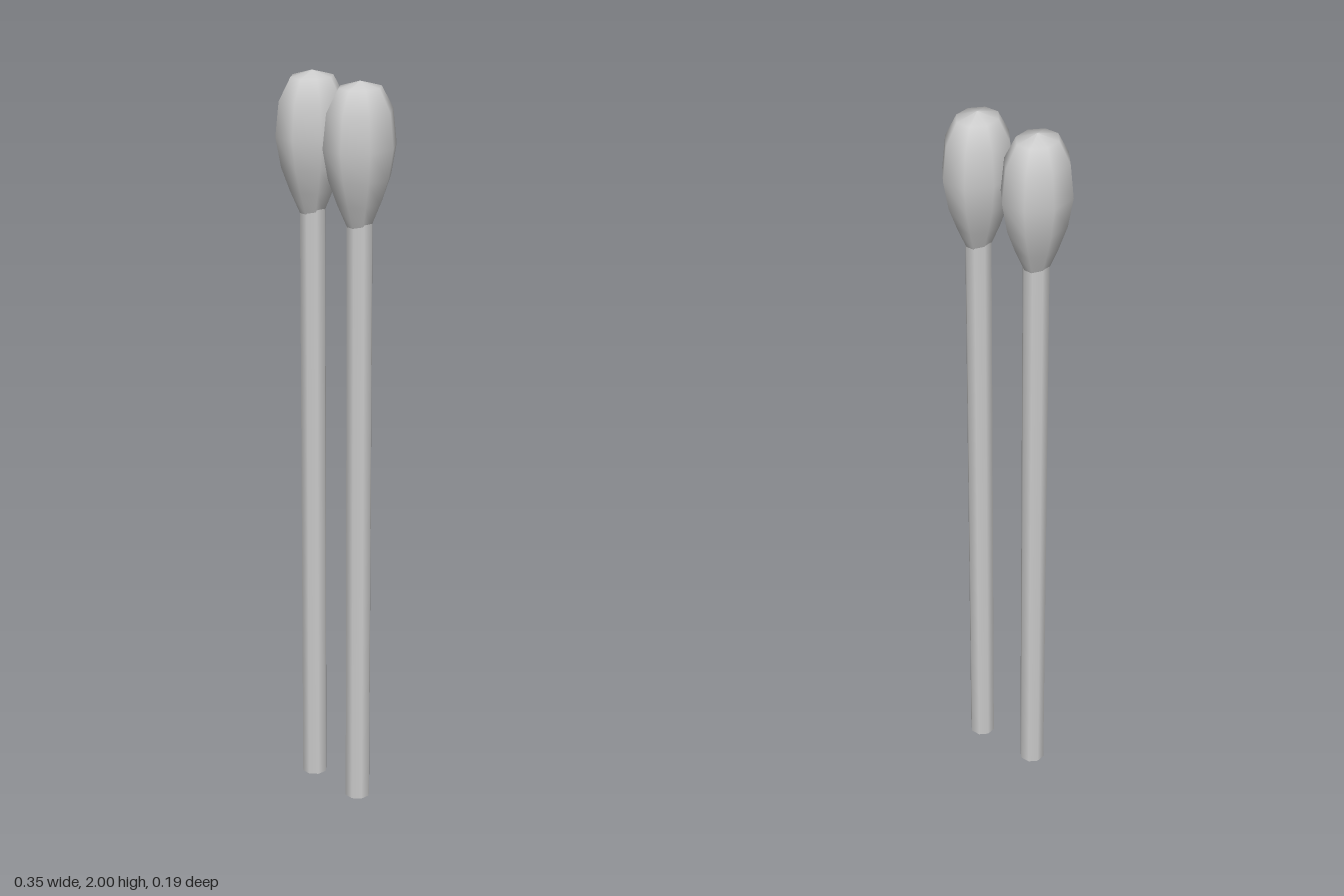
import * as THREE from 'three';

const SIDES = 8;

// Half-width across flats and height, from the neck up to the tip
const HEAD_PROFILE = [
  [0.028, 1.63], [0.05, 1.69], [0.07, 1.755], [0.082, 1.835],
  [0.074, 1.925], [0.048, 1.984], [0, 2.0],
];

export function createModel() {
  const model = new THREE.Group();
  model.name = 'pairOfSticks';
  const material = new THREE.MeshStandardMaterial({ color: 0xcccccc });
  const flat = Math.cos(Math.PI / SIDES); // flats face the axes

  // Bulb-shaped head, a little deeper than wide
  const headGeometry = new THREE.LatheGeometry(
    HEAD_PROFILE.map(([r, y]) => new THREE.Vector2(r / flat, y)),
    SIDES, Math.PI / SIDES);
  headGeometry.scale(1, 1, 1.14);

  // Straight closed shaft reaching just inside the head
  const shaftGeometry = new THREE.CylinderGeometry(
    0.032 / flat, 0.032 / flat, 1.66, SIDES, 1, false, Math.PI / SIDES);
  shaftGeometry.translate(0, 0.83, 0);

  for (const [side, sign] of [['left', 1], ['right', -1]]) {
    const stick = new THREE.Group();
    stick.name = `${side}Stick`;
    const head = new THREE.Mesh(headGeometry, material);
    head.name = `${side}Head`;
    head.position.set(sign * 0.0925, 0, -0.002);
    const shaft = new THREE.Mesh(shaftGeometry, material);
    shaft.name = `${side}Shaft`;
    shaft.position.set(sign * 0.092, 0, -0.003);
    stick.add(head, shaft);
    model.add(stick);
  }
  return model;
}
